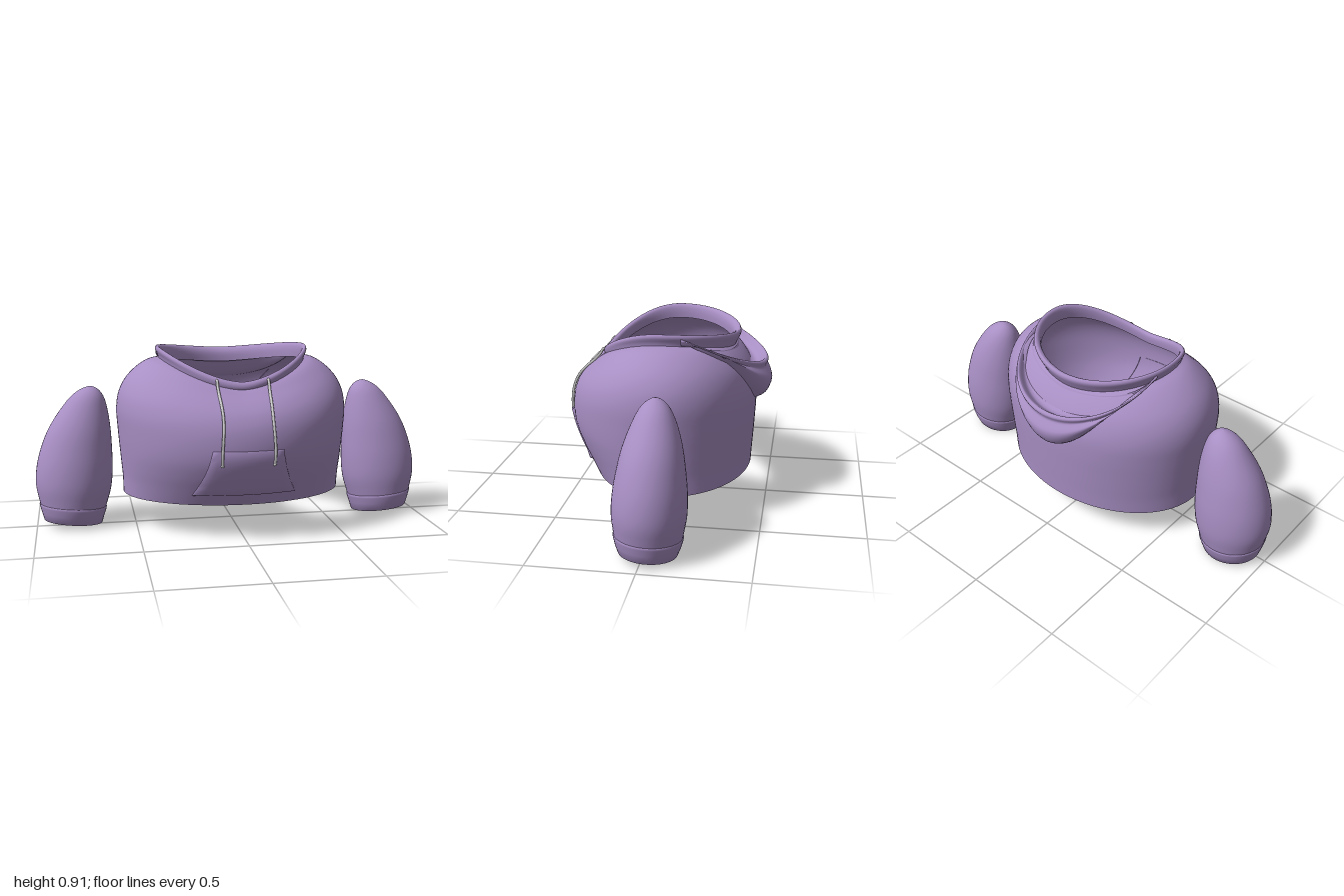
import * as THREE from 'three';

const fabric = new THREE.MeshStandardMaterial({ color: 0xa88fc4, side: THREE.DoubleSide });
const cord = new THREE.MeshStandardMaterial({ color: 0xcccccc });
const V = (x, y, z) => new THREE.Vector3(x, y, z);

// Skin a grid of points; rows run upward, columns counter-clockwise from above.
function skin(rows, closed) {
  const n = rows[0].length, index = [];
  for (let i = 0; i < rows.length - 1; i++) {
    for (let j = 0; j < (closed ? n : n - 1); j++) {
      const k = (j + 1) % n;
      const a = i * n + j, b = i * n + k, c = b + n, d = a + n;
      index.push(a, b, c, a, c, d);
    }
  }
  const g = new THREE.BufferGeometry().setFromPoints(rows.flat());
  g.setIndex(index);
  g.computeVertexNormals();
  return g;
}

// Round off the cross-sections by a spline through each column.
function smoothRows(rows, steps) {
  const cols = rows[0].map((_, j) =>
    new THREE.CatmullRomCurve3(rows.map(r => r[j])).getPoints((rows.length - 1) * steps));
  return cols[0].map((_, i) => cols.map(c => c[i]));
}

// Ring from its front (z, y), side (x, y) and back (z, y) points.
function ring([fz, fy, sx, sy, bz, by], n = 96) {
  return Array.from({ length: n }, (_, j) => {
    const a = j / n * Math.PI * 2, c = Math.cos(a);
    const w = Math.abs(Math.sin(a)) ** 1.6;
    return V(Math.sin(a) * sx, (c > 0 ? fy : by) * (1 - w) + sy * w, c * (c > 0 ? fz : -bz));
  });
}

function add(parent, name, geometry, material = fabric) {
  const mesh = new THREE.Mesh(geometry, material);
  mesh.name = name;
  parent.add(mesh);
  return mesh;
}

// Sleeve sections: y, inner x, outer x, half depth
const sleeveRows = [
  [0.105, 0.650, 0.983, 0.155], [0.2, 0.622, 1.0, 0.168], [0.3, 0.612, 0.993, 0.166],
  [0.4, 0.613, 0.967, 0.153], [0.5, 0.618, 0.925, 0.133], [0.6, 0.632, 0.86, 0.1],
  [0.66, 0.65, 0.81, 0.07], [0.69, 0.672, 0.77, 0.043], [0.705, 0.695, 0.737, 0.018],
  [0.71, 0.715, 0.717, 0.001],
];
const cuffRows = [
  [0.03, 0.680, 0.957, 0.127], [0.019, 0.672, 0.965, 0.134], [0.06, 0.66, 0.976, 0.149],
  [0.092, 0.649, 0.984, 0.157], [0.102, 0.647, 0.986, 0.158], [0.106, 0.652, 0.981, 0.153],
];

function sleeveSection(side, [y, x0, x1, rz]) {
  const rx = (x1 - x0) / 2, tilt = 1 - y / 0.71, n = 48;
  return Array.from({ length: n }, (_, j) => {
    const a = j / n * Math.PI * 2, dx = rx * Math.sin(a), dz = rz * Math.cos(a);
    return V(side * (x0 + x1) / 2 + dx, y + tilt * (0.1 * side * dx + 0.07 * dz), dz - 0.02 - 0.02 * Math.min(1, y / 0.6));
  });
}

export function createModel() {
  const model = new THREE.Group();
  model.name = 'hoodedTop';

  // Torso, open at hem and neck
  const torso = add(model, 'torso', skin(smoothRows([
    [0.375, 0.17, 0.56, 0.17, -0.415, 0.17],
    [0.42, 0.25, 0.562, 0.25, -0.42, 0.25],
    [0.457, 0.32, 0.568, 0.32, -0.425, 0.32],
    [0.488, 0.4, 0.575, 0.4, -0.43, 0.4],
    [0.497, 0.48, 0.583, 0.5, -0.435, 0.5],
    [0.487, 0.56, 0.588, 0.6, -0.433, 0.59],
    [0.46, 0.62, 0.575, 0.68, -0.42, 0.65],
    [0.42, 0.665, 0.54, 0.75, -0.4, 0.7],
    [0.375, 0.7, 0.48, 0.81, -0.37, 0.745],
    [0.345, 0.722, 0.42, 0.845, -0.34, 0.78],
    [0.32, 0.735, 0.368, 0.855, -0.32, 0.8],
  ].map(r => ring(r)), 4), true));

  // Neck band of the hood, folded over at its rim
  add(model, 'hoodRim', skin(smoothRows([
    [0.335, 0.715, 0.37, 0.84, -0.325, 0.79],
    [0.342, 0.735, 0.375, 0.868, -0.34, 0.82],
    [0.338, 0.752, 0.386, 0.895, -0.352, 0.85],
    [0.325, 0.762, 0.38, 0.91, -0.345, 0.866],
    [0.311, 0.755, 0.366, 0.903, -0.325, 0.858],
    [0.308, 0.735, 0.36, 0.875, -0.312, 0.835],
    [0.312, 0.705, 0.362, 0.835, -0.31, 0.79],
  ].map(r => ring(r)), 3), true));

  // Hood lying down the back: a pouch whose sections shrink toward the shoulders.
  // Each row: half width, back z, back y, shoulder y, sharpness of the drop
  const pouch = [
    [0.35, -0.43, 0.515, 0.85, 2.5],
    [0.36, -0.485, 0.55, 0.856, 2.2],
    [0.368, -0.513, 0.625, 0.864, 1.7],
    [0.37, -0.492, 0.67, 0.87, 1.4],
    [0.372, -0.482, 0.69, 0.875, 1.2],
    [0.374, -0.492, 0.715, 0.882, 1.1],
    [0.368, -0.48, 0.728, 0.888, 1],
    [0.362, -0.462, 0.715, 0.882, 1],
    [0.358, -0.43, 0.69, 0.875, 1],
    [0.355, -0.385, 0.71, 0.87, 1],
    [0.352, -0.335, 0.79, 0.865, 1],
  ].map(([w, z, y, sy, p]) => Array.from({ length: 49 }, (_, j) => {
    const a = (j / 48 - 0.5) * Math.PI, c = Math.max(0, Math.cos(a));
    return V(-w * Math.sin(a), sy + (y - sy) * c ** p, -0.1 + (z + 0.1) * c ** 0.9);
  }));
  add(model, 'hoodPouch', skin(smoothRows(pouch, 3), false));

  // Depth of the torso front under a point
  torso.updateMatrixWorld();
  const ray = new THREE.Raycaster();
  const frontZ = (x, y) => {
    ray.set(V(x, y, 2), V(0, 0, -1));
    const hit = ray.intersectObject(torso)[0];
    return hit ? hit.point.z : 0.33;
  };

  // Pouch pocket, laid on the torso with turned-in edges
  const pocketRows = [];
  for (let i = 0; i <= 12; i++) {
    const v = i / 12, y = 0.225 + 0.235 * v;
    const half = 0.255 - 0.085 * v - 0.012 * Math.sin(v * Math.PI);
    pocketRows.push(Array.from({ length: 21 }, (_, j) => {
      const x = (j / 10 - 1) * half;
      const edge = i === 0 || i === 12 || j === 0 || j === 20;
      return V(x, y, frontZ(x, y) + (edge ? -0.003 : 0.009));
    }));
  }
  // Keep the border steep by pulling the second ring of points close to it
  for (const r of pocketRows) {
    r[1].lerp(r[0], 0.8).z += 0.009;
    r[19].lerp(r[20], 0.8).z += 0.009;
  }
  for (let j = 1; j < 20; j++) {
    pocketRows[1][j].lerp(pocketRows[0][j], 0.8).z += 0.009;
    pocketRows[11][j].lerp(pocketRows[12][j], 0.8).z += 0.009;
  }
  add(model, 'frontPocket', skin(pocketRows, false));

  for (const side of [1, -1]) {
    const label = side > 0 ? 'left' : 'right';

    // Sleeve with cuff, open at the wrist
    const sleeve = new THREE.Group();
    sleeve.name = label + 'Sleeve';
    add(sleeve, 'arm', skin(smoothRows(sleeveRows.map(r => sleeveSection(side, r)), 4), true));
    add(sleeve, 'cuff', skin(cuffRows.map(r => sleeveSection(side, r)), true));
    model.add(sleeve);

    // Drawstring hanging from the rim
    const path = [V(side * 0.125, 0.772, 0.305), V(side * 0.125, 0.768, 0.328), V(side * 0.125, 0.745, 0.342)];
    for (let y = 0.71; y > 0.38; y -= 0.04) {
      const x = side * (0.122 + 0.004 * Math.sin(y * 18));
      path.push(V(x, y, frontZ(x, y) + 0.009));
    }
    const curve = new THREE.CatmullRomCurve3(path);
    add(model, label + 'Drawstring', new THREE.TubeGeometry(curve, 60, 0.007, 8), cord);
    const tip = add(model, label + 'DrawstringTip', new THREE.SphereGeometry(0.008, 12, 8), cord);
    tip.position.copy(path[path.length - 1]);
  }

  return model;
}
